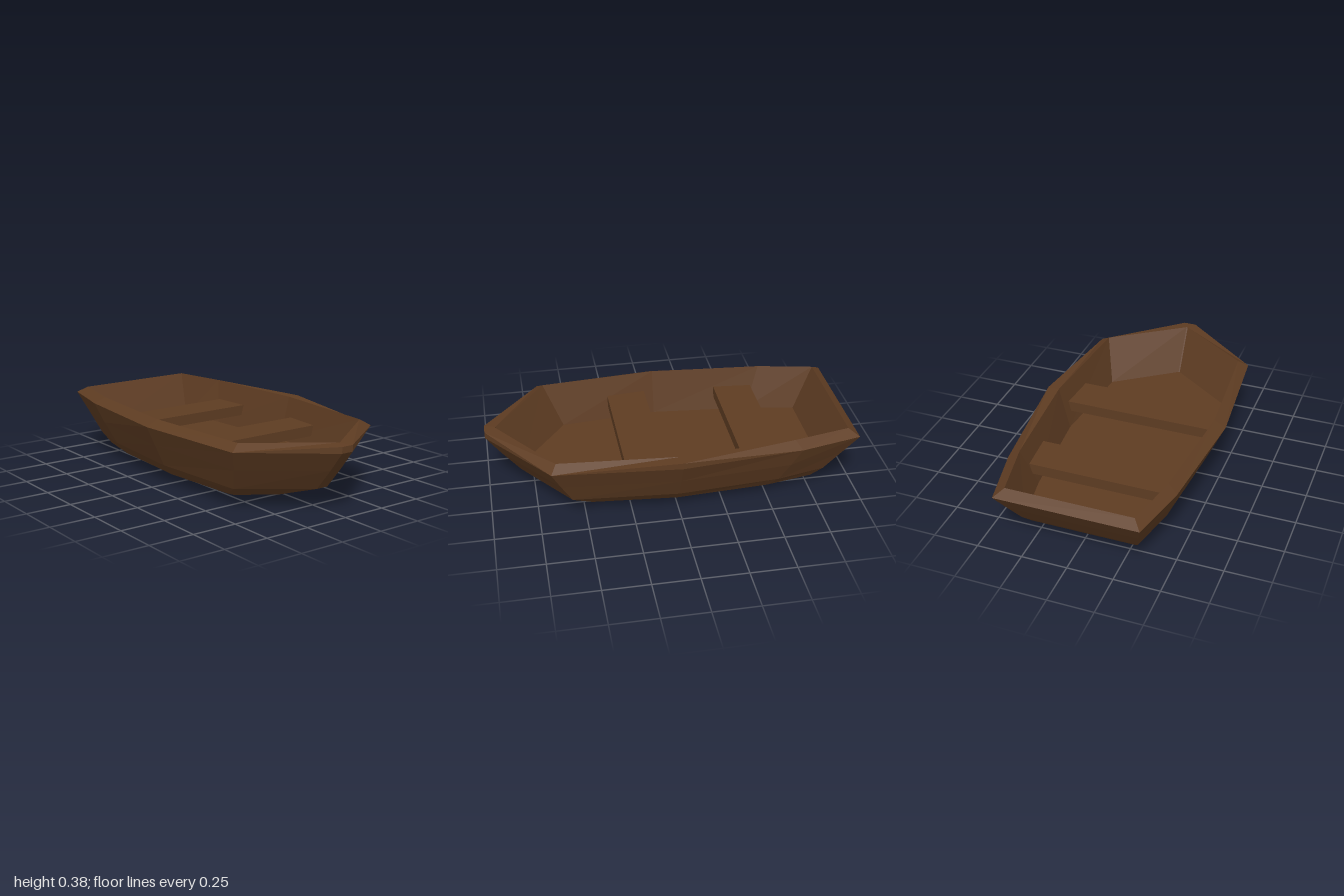
import * as THREE from 'three';

// A plan outline of the hull: half-side points [x, y, z] from bow tip to stern, mirrored.
function ring(y, half) {
  const left = half.map(([x, z, h]) => new THREE.Vector3(x, h ?? y, z));
  const right = left.map((p) => new THREE.Vector3(-p.x, p.y, p.z)).reverse();
  return [...left, ...right];
}

// Flat-shaded surface from triangles, leaving out any with no area.
function surface(tris) {
  const pts = [];
  for (const [a, b, c] of tris) {
    if (new THREE.Triangle(a, b, c).getArea() > 1e-7) pts.push(a, b, c);
  }
  const g = new THREE.BufferGeometry().setFromPoints(pts);
  g.computeVertexNormals();
  return g;
}

// Joins successive outlines with quads.
function loft(rings) {
  const tris = [];
  for (let k = 0; k + 1 < rings.length; k++) {
    const lo = rings[k], hi = rings[k + 1], n = lo.length;
    for (let i = 0; i < n; i++) {
      const j = (i + 1) % n;
      tris.push([lo[i], lo[j], hi[j]], [lo[i], hi[j], hi[i]]);
    }
  }
  return tris;
}

// Fills an outline with strips running from side to side.
function cap(r, up) {
  const tris = [], n = r.length;
  for (let i = 0; i + 1 < n / 2; i++) {
    const a = r[i], b = r[i + 1], c = r[n - 2 - i], d = r[n - 1 - i];
    tris.push(...(up ? [[a, b, c], [a, c, d]] : [[c, b, a], [d, c, a]]));
  }
  return tris;
}

export function createModel() {
  const boat = new THREE.Group();
  boat.name = 'rowingBoat';
  const wood = new THREE.MeshStandardMaterial({ color: 0x5e3c22 });
  wood.name = 'brownWood';
  wood.flatShading = true;

  const add = (name, geometry) => {
    const mesh = new THREE.Mesh(geometry, wood);
    mesh.name = name;
    boat.add(mesh);
    return mesh;
  };

  // Outlines from the bottom up: tip, bow corner, middle, quarter, stern
  const bottom = ring(0.012, [[0.035, 0.51], [0.25, 0.4], [0.275, 0], [0.26, -0.42], [0.23, -0.65]]);
  bottom[9].y = 0;
  const outer = [
    bottom,
    ring(0.05, [[0.035, 0.65], [0.33, 0.46], [0.37, 0], [0.34, -0.51], [0.29, -0.77]]),
    ring(0.11, [[0.035, 0.82], [0.375, 0.57], [0.42, 0], [0.38, -0.56], [0.32, -0.83]]),
    ring(0.23, [[0.035, 0.92], [0.42, 0.63], [0.475, 0], [0.43, -0.61], [0.355, -0.92]]),
    ring(0.34, [[0.035, 1, 0.335], [0.465, 0.68], [0.525, 0], [0.465, -0.66], [0.39, -1]]),
  ];
  add('hull', surface([...cap(bottom, false), ...loft(outer)]));

  // Sloping gunwale; its middle is raised on the left side
  const edge = outer[4].map((p) => p.clone());
  edge[2].y = 0.375;
  edge[0].y = edge[9].y = 0.37;
  const inner = ring(0.375, [[0.004, 0.94], [0.41, 0.65], [0.46, 0], [0.41, -0.63], [0.345, -0.945]]);
  add('gunwale', surface(loft([outer[4], edge, inner])));

  // Inside walls and floor
  const floor = ring(0.13, [[0.004, 0.8], [0.35, 0.545], [0.4, 0], [0.35, -0.55], [0.3, -0.83]]);
  add('innerWalls', surface(loft([inner, floor])));
  add('floor', surface(cap(floor, true)));

  // Two plank seats
  for (const [name, width, z, depth] of [['frontSeat', 0.87, 0.165, 0.22], ['rearSeat', 0.82, -0.47, 0.22]]) {
    add(name, new THREE.BoxGeometry(width, 0.06, depth)).position.set(0, 0.235, z);
  }
  return boat;
}
